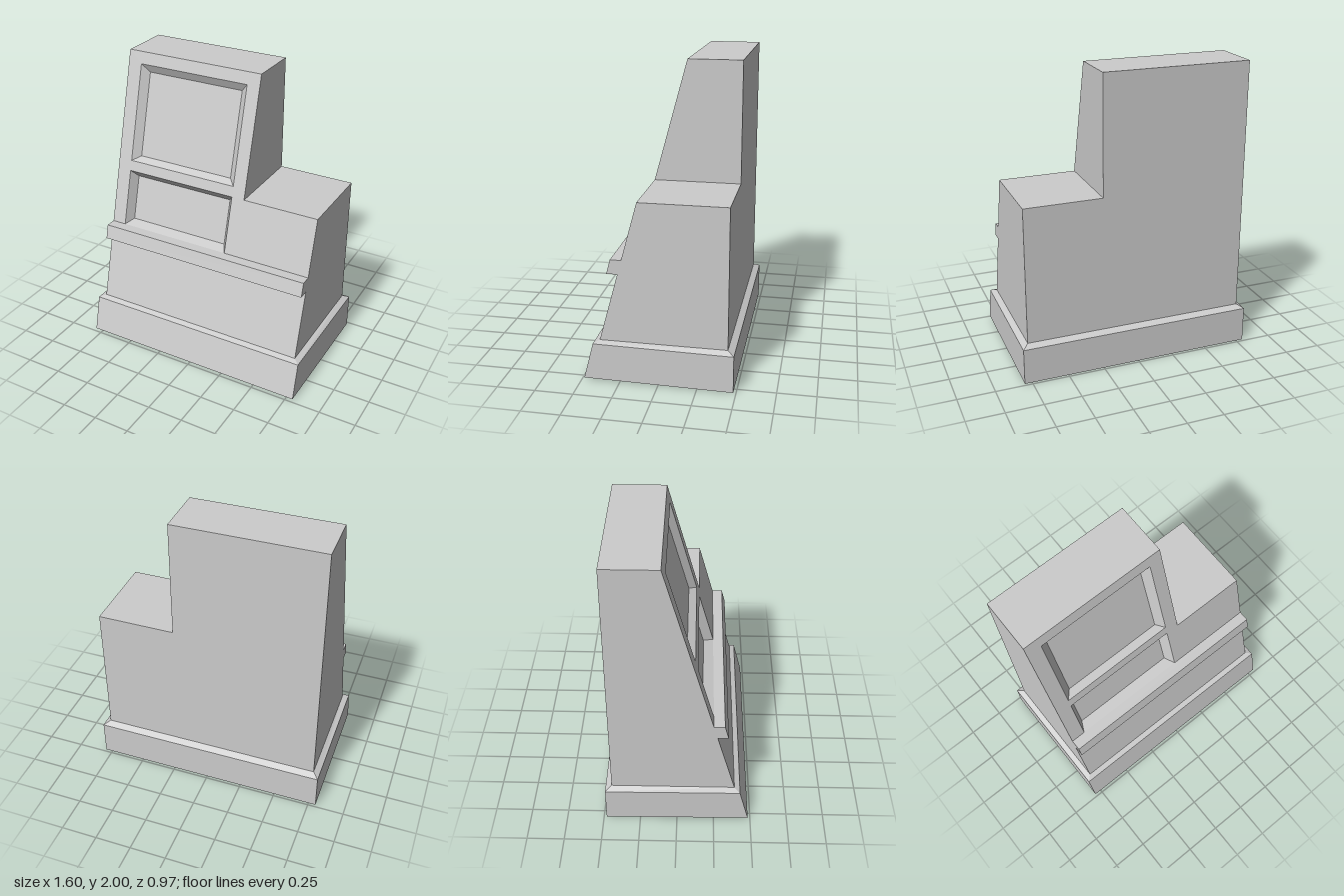
import * as THREE from 'three';
import { mergeGeometries } from 'three/addons/utils/BufferGeometryUtils.js';

const material = new THREE.MeshStandardMaterial({ color: 0xcccccc, flatShading: true, side: THREE.DoubleSide });

// Main dimensions
const W = 0.76, STEP_X = 0.235, BACK = -0.44;
const FOOT = 0.27, STEP_Y = 1.2, TOP = 2;
const SHELF_LOW = 0.725, SHELF_TOP = 0.82;
const frontZ = (y) => 0.385 - 0.2717 * (y - FOOT); // sloping front plane

// Flat polygon drawn in 2D and placed by a mapping (u, v) -> [x, y, z]
function sheet(outline, place, holes = []) {
  const shape = new THREE.Shape(outline.map(([u, v]) => new THREE.Vector2(u, v)));
  for (const h of holes) shape.holes.push(new THREE.Path(h.map(([u, v]) => new THREE.Vector2(u, v))));
  const g = new THREE.ShapeGeometry(shape);
  const p = g.attributes.position;
  for (let i = 0; i < p.count; i++) p.setXYZ(i, ...place(p.getX(i), p.getY(i)));
  const flat = g.toNonIndexed();
  flat.deleteAttribute('uv');
  flat.computeVertexNormals();
  return flat;
}

function quad(a, b, c, d) {
  const g = new THREE.BufferGeometry();
  g.setAttribute('position', new THREE.Float32BufferAttribute([a, b, c, a, c, d].flat(), 3));
  g.computeVertexNormals();
  return g;
}

// Walls between successive four-cornered rings
function loft(rings) {
  const parts = [];
  for (let r = 0; r + 1 < rings.length; r++) {
    const a = rings[r], b = rings[r + 1];
    for (let i = 0; i < 4; i++) {
      const j = (i + 1) % 4;
      parts.push(quad(a[i], a[j], b[j], b[i]));
    }
  }
  return parts;
}

const rect = (x0, x1, y0, y1) => [[x0, y0], [x1, y0], [x1, y1], [x0, y1]];

function part(name, geometries) {
  const mesh = new THREE.Mesh(mergeGeometries(geometries), material);
  mesh.name = name;
  return mesh;
}

// Recess with bevelled sides, sunk behind the sloping front
function recess(name, outer, inner, depth) {
  const a = outer.map(([x, y]) => [x, y, frontZ(y)]);
  const b = inner.map(([x, y]) => [x, y, frontZ(y) - depth]);
  return part(name, [...loft([a, b]), quad(...b)]);
}

export function createModel() {
  const model = new THREE.Group();
  model.name = 'steppedCabinet';

  // Plinth: open underneath, sloping front, narrow bevel up to the body
  const ring = (w, zf, yf, zb, yb) => [[-w, yf, zf], [w, yf, zf], [w, yb, zb], [-w, yb, zb]];
  model.add(part('plinth', loft([
    ring(0.8, 0.484, 0.012, -0.482, 0),
    ring(0.8, 0.422, 0.256, -0.482, 0.247),
    ring(W, frontZ(FOOT), FOOT, BACK, FOOT),
  ])));

  // Stepped front above the shelf, notched for the lower recess
  const upper = rect(-0.66, 0.145, 1.27, 1.92);
  const lower = rect(-0.66, 0.145, SHELF_TOP, STEP_Y);
  model.add(part('upperFront', [sheet([
    [-W, SHELF_TOP], lower[0], lower[3], lower[2], lower[1], [W, SHELF_TOP],
    [W, STEP_Y], [STEP_X, STEP_Y], [STEP_X, TOP], [-W, TOP],
  ], (x, y) => [x, y, frontZ(y)], [upper])]));

  model.add(recess('upperRecess', upper, rect(-0.61, 0.095, 1.295, 1.86), 0.046));
  model.add(recess('lowerRecess', lower, rect(-0.625, 0.105, 0.842, 1.145), 0.064));

  // Lower front and projecting shelf, swept across the full width
  const profile = [
    [frontZ(FOOT), FOOT], [frontZ(SHELF_LOW), SHELF_LOW], [0.332, SHELF_LOW],
    [0.307, SHELF_TOP], [frontZ(SHELF_TOP), SHELF_TOP],
  ];
  const strips = profile.slice(1).map(([z1, y1], i) => {
    const [z0, y0] = profile[i];
    return quad([-W, y0, z0], [W, y0, z0], [W, y1, z1], [-W, y1, z1]);
  });
  model.add(part('lowerFront', strips.slice(0, 1)), part('shelf', strips.slice(1)));

  // Side walls follow the front profile
  const side = (top) => [[BACK, FOOT], ...profile, [frontZ(top), top], [BACK, top]];
  const mirrorU = (pts) => pts.map(([u, v]) => [-u, v]);
  model.add(part('rightWall', [sheet(side(TOP), (z, y) => [-W, y, z])]));
  model.add(part('leftWall', [sheet(mirrorU(side(STEP_Y)), (u, y) => [W, y, -u])]));
  model.add(part('towerWall', [sheet(mirrorU([
    [BACK, STEP_Y], [frontZ(STEP_Y), STEP_Y], [frontZ(TOP), TOP], [BACK, TOP],
  ]), (u, y) => [STEP_X, y, -u])]));

  // Stepped back wall
  model.add(part('backWall', [sheet(mirrorU([
    [-W, FOOT], [W, FOOT], [W, STEP_Y], [STEP_X, STEP_Y], [STEP_X, TOP], [-W, TOP],
  ]), (u, y) => [-u, y, BACK])]));

  // Tower top and lower step top
  const lid = (x0, x1, y) => quad([x0, y, frontZ(y)], [x1, y, frontZ(y)], [x1, y, BACK], [x0, y, BACK]);
  model.add(part('towerTop', [lid(-W, STEP_X, TOP)]), part('stepTop', [lid(STEP_X, W, STEP_Y)]));

  return model;
}
